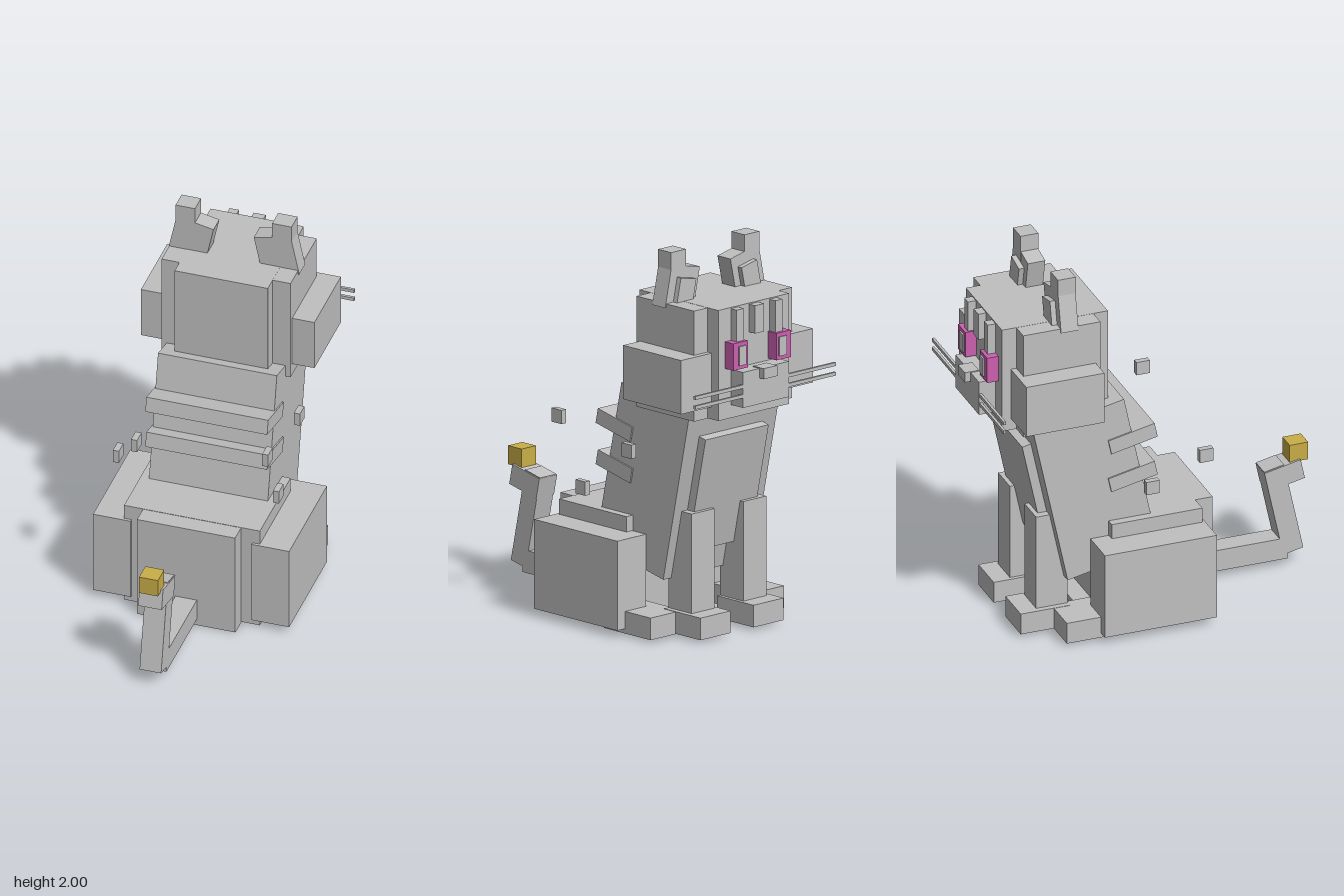
import * as THREE from 'three';

const mat = (name, color) => Object.assign(new THREE.MeshStandardMaterial({ color }), { name });

export function createModel() {
  const grey = mat('grey fur', 0xc0c0c0);
  const pink = mat('pink eye', 0xcc60b0);
  const gold = mat('gold tail tip', 0xcaae48);
  const model = new THREE.Group();
  model.name = 'sittingCat';
  const LEAN = 0.21;

  // Axis-aligned box from ranges [min, max]
  function block(name, x, y, z, material = grey, parent = model) {
    const geo = new THREE.BoxGeometry(x[1] - x[0], y[1] - y[0], z[1] - z[0]);
    const mesh = new THREE.Mesh(geo, material);
    mesh.position.set((x[0] + x[1]) / 2, (y[0] + y[1]) / 2, (z[0] + z[1]) / 2);
    mesh.name = name;
    parent.add(mesh);
    return mesh;
  }
  // Box from centre and size, tilted about x or z
  function tilted(name, pos, size, rx, rz = 0, parent = model) {
    const mesh = new THREE.Mesh(new THREE.BoxGeometry(...size), grey);
    mesh.position.set(...pos);
    mesh.rotation.set(rx, 0, rz);
    mesh.name = name;
    parent.add(mesh);
    return mesh;
  }
  // Same block on both sides
  function pair(name, x, y, z, material = grey) {
    block(name + 'Left', x, y, z, material);
    block(name + 'Right', [-x[1], -x[0]], y, z, material);
  }

  // Hips and hind legs
  block('hips', [-0.36, 0.36], [0.006, 0.585], [-0.255, 0.235]);
  block('rump', [-0.26, 0.26], [0.004, 0.583], [-0.25, 0.33]);
  block('belly', [-0.26, 0.26], [0, 0.03], [-0.35, 0.32]);
  pair('haunch', [0.32, 0.52], [0.04, 0.505], [-0.355, 0.25]);
  pair('hindFoot', [0.24, 0.465], [0.015, 0.13], [-0.54, -0.2]);

  // Front legs
  pair('frontLeg', [0.1, 0.26], [0.1, 0.65], [-0.625, -0.455]);
  pair('frontPaw', [0.08, 0.29], [0.017, 0.132], [-0.72, -0.455]);

  // Leaning torso with chest plate
  const torso = new THREE.Group();
  torso.name = 'torso';
  torso.position.set(0, 0.775, -0.3235);
  torso.rotation.x = -LEAN;
  model.add(torso);
  block('trunk', [-0.315, 0.315], [-0.4425, 0.4425], [-0.25, 0.25], grey, torso);
  block('chestPlate', [-0.22, 0.22], [-0.29, 0.334], [-0.298, -0.24], grey, torso);

  // Raised bands across the back
  for (const y of [1.03, 0.815]) tilted('backBand', [0, y, -0.125], [0.646, 0.08, 0.255], -LEAN);

  // Loose cubes floating beside the body
  const cubes = [[0.39, 1.03, 0.205], [0.39, 0.945, -0.302], [0.39, 0.69, 0.033],
    [-0.39, 0.905, 0.24], [-0.39, 0.778, -0.05]];
  for (const [x, y, z] of cubes) {
    block('floatingCube', [x - 0.016, x + 0.016], [y - 0.036, y + 0.036], [z - 0.036, z + 0.036]);
  }

  // Head
  block('headWide', [-0.342, 0.342], [1.165, 1.74], [-0.727, -0.31]);
  block('headLong', [-0.247, 0.247], [1.166, 1.741], [-0.805, -0.232]);
  pair('cheek', [0.2, 0.46], [1.23, 1.51], [-0.757, -0.335]);
  block('muzzle', [-0.16, 0.16], [1.235, 1.42], [-0.895, -0.79]);
  block('nose', [-0.047, 0.047], [1.37, 1.425], [-0.927, -0.85]);
  for (const y of [1.345, 1.295]) {
    pair('whisker', [0.15, 0.49], [y - 0.009, y + 0.009], [-0.893, -0.879]);
  }

  // Eyes and forehead stripes
  pair('eye', [0.1, 0.2], [1.43, 1.57], [-0.866, -0.79], pink);
  pair('pupil', [0.115, 0.165], [1.45, 1.55], [-0.874, -0.8]);
  pair('foreheadStripe', [0.11, 0.16], [1.55, 1.735], [-0.848, -0.79]);
  block('foreheadStripeMiddle', [-0.032, 0.032], [1.59, 1.735], [-0.848, -0.79]);

  // Ears: slanted base, upright tip, inner pad
  for (const s of [-1, 1]) {
    const ear = new THREE.Group();
    ear.name = s > 0 ? 'earLeft' : 'earRight';
    model.add(ear);
    tilted('earBase', [s * 0.2275, 1.805, -0.4775], [0.2, 0.22, 0.094], 0, s * LEAN, ear);
    tilted('earTip', [s * 0.256, 1.93, -0.4775], [0.103, 0.14, 0.096], 0, 0, ear);
    tilted('earInner', [s * 0.225, 1.79, -0.53], [0.11, 0.13, 0.045], 0, s * LEAN, ear);
  }

  // Tail
  block('tailBase', [-0.057, 0.057], [0.04, 0.157], [0.3, 0.815]);
  tilted('tailUpright', [0, 0.32, 0.795], [0.114, 0.5, 0.11], -LEAN);
  tilted('tailHook', [0, 0.515, 0.7985], [0.124, 0.11, 0.2], -LEAN);
  block('tailTip', [-0.05, 0.05], [0.578, 0.675], [0.83, 0.93], gold);

  return model;
}
